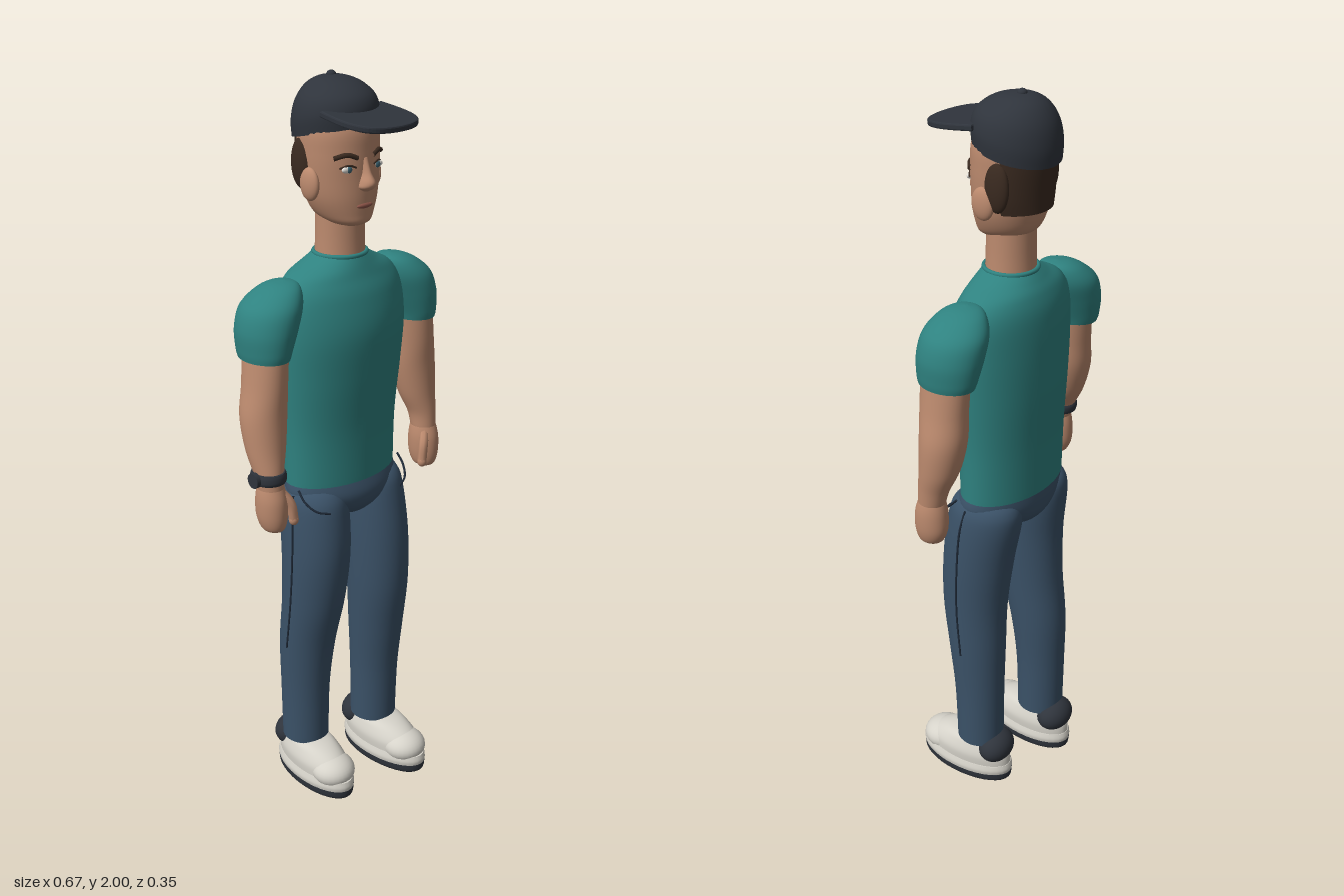
import * as THREE from 'three';

const mat = (name, color, double) => {
  const m = new THREE.MeshStandardMaterial({ color });
  m.name = name;
  if (double) m.side = THREE.DoubleSide;
  return m;
};

// Smooth body part from a few elliptical rings [y, cx, cz, rx, rz], closed at both ends.
// An arc [from, to] makes an open shell instead; angle 0 faces +z.
function loft(rings, { seg = 36, sub = 6, arc = null } = {}) {
  const at = (i) => rings[Math.max(0, Math.min(rings.length - 1, i))];
  const rows = [];
  for (let i = 0; i < rings.length - 1; i++) {
    for (let k = 0; k < sub; k++) {
      const t = k / sub;
      rows.push(at(i).map((b, c) => {
        const a = at(i - 1)[c], d = at(i + 1)[c], e = at(i + 2)[c];
        return b + 0.5 * t * (d - a + t * (2 * a - 5 * b + 4 * d - e + t * (3 * (b - d) + e - a)));
      }));
    }
  }
  rows.push(at(rings.length - 1));
  const pos = [], idx = [];
  const [from, to] = arc || [0, Math.PI * 2];
  const n = arc ? seg + 1 : seg;
  const addRing = ([y, cx, cz, rx, rz]) => {
    for (let j = 0; j < n; j++) {
      const a = from + (to - from) * j / seg;
      pos.push(cx + rx * Math.sin(a), y, cz + rz * Math.cos(a));
    }
  };
  rows.forEach(addRing);
  for (let i = 0; i < rows.length - 1; i++) {
    for (let j = 0; j < seg; j++) {
      const a = i * n + j, b = i * n + (j + 1) % n;
      idx.push(a, b, b + n, a, b + n, a + n);
    }
  }
  if (!arc) {
    for (const top of [false, true]) {
      const r = top ? rows[rows.length - 1] : rows[0];
      const start = pos.length / 3;
      addRing(r);
      pos.push(r[1], r[0], r[2]);
      for (let j = 0; j < seg; j++) {
        const a = start + j, b = start + (j + 1) % seg;
        if (top) idx.push(a, b, start + seg); else idx.push(b, a, start + seg);
      }
    }
  }
  const g = new THREE.BufferGeometry();
  g.setAttribute('position', new THREE.Float32BufferAttribute(pos, 3));
  g.setIndex(idx);
  g.computeVertexNormals();
  return g;
}

const ball = (x, y, z, rx, ry, rz) =>
  new THREE.SphereGeometry(1, 28, 18).scale(rx, ry, rz).translate(x, y, z);

const tube = (points, r) => new THREE.TubeGeometry(
  new THREE.CatmullRomCurve3(points.map((p) => new THREE.Vector3(...p))), 24, r, 8);

export function createModel() {
  const model = new THREE.Group();
  const skin = mat('skin', 0xbc8a6e), shirt = mat('shirt teal', 0x2f8280);
  const denim = mat('denim blue', 0x3b5268), dark = mat('charcoal', 0x2f343c);
  const white = mat('shoe white', 0xd6d3ca), hair = mat('hair brown', 0x3a2a20, true);
  const lips = mat('lips', 0x8e5549), eyeWhite = mat('eye white', 0xe4e2dc);
  const iris = mat('iris', 0x3f6674), seam = mat('seam navy', 0x1f2a38);
  const add = (name, geometry, material, parent = model) => {
    const m = new THREE.Mesh(geometry, material);
    m.name = name;
    parent.add(m);
    return m;
  };

  // Torso, collar, neck
  add('torso', loft([
    [0.955, 0, -0.045, 0.172, 0.105], [1.1, 0, -0.045, 0.175, 0.108],
    [1.25, 0, -0.041, 0.186, 0.119], [1.37, 0, -0.038, 0.193, 0.123],
    [1.46, 0, -0.043, 0.188, 0.112], [1.51, 0, -0.046, 0.16, 0.095],
    [1.54, 0, -0.043, 0.105, 0.08], [1.562, 0, -0.04, 0.066, 0.066]]), shirt);
  add('collar', new THREE.TorusGeometry(0.067, 0.006, 8, 40).rotateX(Math.PI / 2)
    .translate(0, 1.56, -0.04), shirt);
  add('neck', loft([[1.53, 0, -0.04, 0.067, 0.064], [1.6, 0, -0.04, 0.064, 0.061],
    [1.69, 0, -0.04, 0.063, 0.06]]), skin);
  add('pelvis', loft([
    [0.838, 0, -0.04, 0.02, 0.03], [0.85, 0, -0.04, 0.06, 0.07], [0.88, 0, -0.04, 0.125, 0.1],
    [0.92, 0, -0.04, 0.172, 0.108], [0.965, 0, -0.045, 0.168, 0.102]]), denim);

  // Head and face
  add('head', loft([
    [1.638, 0, -0.005, 0.03, 0.035], [1.648, 0, -0.015, 0.055, 0.063],
    [1.67, 0, -0.03, 0.074, 0.082], [1.71, 0, -0.037, 0.091, 0.092],
    [1.76, 0, -0.042, 0.1, 0.097], [1.82, 0, -0.045, 0.104, 0.1],
    [1.88, 0, -0.048, 0.101, 0.098], [1.94, 0, -0.05, 0.07, 0.07]]), skin);
  add('nose', loft([
    [1.728, 0, 0.05, 0.008, 0.012], [1.738, 0, 0.054, 0.021, 0.025],
    [1.752, 0, 0.056, 0.019, 0.028], [1.775, 0, 0.052, 0.011, 0.019],
    [1.81, 0, 0.047, 0.009, 0.01]], { seg: 20 }), skin);
  add('mouth', ball(0, 1.692, 0.051, 0.025, 0.007, 0.007), lips);
  add('backHair', loft([
    [1.722, 0, -0.043, 0.097, 0.1], [1.76, 0, -0.043, 0.105, 0.102],
    [1.82, 0, -0.045, 0.108, 0.104], [1.87, 0, -0.046, 0.107, 0.104]],
  { arc: [0.62 * Math.PI, 1.38 * Math.PI] }), hair);
  for (const s of [1, -1]) {
    add('ear', ball(s * 0.102, 1.745, -0.035, 0.015, 0.041, 0.032), skin);
    add('sideHair', ball(s * 0.096, 1.79, -0.072, 0.017, 0.062, 0.034), hair);
    add('eye', ball(s * 0.047, 1.785, 0.042, 0.019, 0.009, 0.007), eyeWhite);
    add('iris', ball(s * 0.046, 1.785, 0.047, 0.008, 0.008, 0.004), iris);
    add('eyelid', tube([[s * 0.027, 1.788, 0.051], [s * 0.047, 1.795, 0.047],
      [s * 0.067, 1.788, 0.034]], 0.0025), hair);
    add('eyebrow', tube([[s * 0.024, 1.811, 0.052], [s * 0.05, 1.82, 0.044],
      [s * 0.077, 1.812, 0.024]], 0.006), hair);
  }

  // Cap: dome lowered toward the back, thin bill, button
  const cap = new THREE.Group();
  cap.name = 'cap';
  model.add(cap);
  const dome = loft([
    [1.858, 0, -0.056, 0.105, 0.108], [1.9, 0, -0.056, 0.107, 0.11],
    [1.94, 0, -0.057, 0.096, 0.099], [1.97, 0, -0.06, 0.07, 0.073],
    [1.986, 0, -0.063, 0.038, 0.04], [1.991, 0, -0.065, 0.003, 0.003]]);
  const p = dome.attributes.position;
  for (let i = 0; i < p.count; i++) {
    const fade = Math.min(1, (1.991 - p.getY(i)) / 0.1);
    p.setY(i, p.getY(i) + 0.22 * fade * (p.getZ(i) + 0.055));
  }
  dome.computeVertexNormals();
  add('capDome', dome, dark, cap);
  add('capButton', ball(0, 1.99, -0.07, 0.012, 0.01, 0.012), dark, cap);
  const billShape = new THREE.Shape();
  billShape.moveTo(-0.095, 0.0);
  billShape.lineTo(0.095, 0.0);
  billShape.bezierCurveTo(0.1, 0.05, 0.107, 0.1, 0.082, 0.138);
  billShape.bezierCurveTo(0.055, 0.178, -0.055, 0.178, -0.082, 0.138);
  billShape.bezierCurveTo(-0.107, 0.1, -0.1, 0.05, -0.095, 0.0);
  const bill = add('capBill', new THREE.ExtrudeGeometry(billShape, {
    depth: 0.008, bevelThickness: 0.004, bevelSize: 0.004, bevelSegments: 2, curveSegments: 20,
  }).rotateX(Math.PI / 2), dark, cap);
  bill.position.set(0, 1.92, 0.005);
  bill.rotation.x = 0.12;

  for (const s of [1, -1]) {
    const side = s > 0 ? 'left' : 'right';
    // The right arm swings slightly forward, the right leg stands slightly back
    const swing = (y) => (s > 0 ? 0 : 0.03 * Math.min(1, Math.max(0, (1.34 - y) / 0.3)));
    const stride = (y) => (s > 0 ? 0 : -0.05 * THREE.MathUtils.smoothstep(0.9 - y, 0, 0.5));
    const limb = (rings, shift) => loft(rings.map(([y, x, z, rx, rz]) => [y, s * x, z + shift(y), rx, rz]));

    // Sleeve, arm, hand
    add(side + 'Sleeve', limb([
      [1.337, 0.252, -0.042, 0.058, 0.077], [1.36, 0.25, -0.043, 0.063, 0.083],
      [1.41, 0.24, -0.045, 0.074, 0.088], [1.46, 0.222, -0.047, 0.076, 0.084],
      [1.495, 0.2, -0.047, 0.058, 0.064], [1.513, 0.185, -0.047, 0.035, 0.038],
      [1.519, 0.18, -0.047, 0.004, 0.004]], swing), shirt);
    add(side + 'Arm', limb([
      [1.01, 0.287, -0.015, 0.034, 0.037], [1.05, 0.286, -0.022, 0.038, 0.042],
      [1.11, 0.278, -0.036, 0.052, 0.053], [1.19, 0.27, -0.043, 0.06, 0.061],
      [1.27, 0.26, -0.039, 0.055, 0.064], [1.36, 0.25, -0.038, 0.052, 0.068]], swing), skin);
    const hand = new THREE.Group();
    hand.name = side + 'Hand';
    model.add(hand);
    add('palm', limb([
      [0.888, 0.286, -0.008, 0.012, 0.016], [0.898, 0.286, -0.009, 0.028, 0.034],
      [0.93, 0.287, -0.012, 0.037, 0.045], [0.975, 0.287, -0.013, 0.039, 0.045],
      [1.01, 0.287, -0.015, 0.034, 0.037], [1.03, 0.287, -0.015, 0.025, 0.028]], swing), skin, hand);
    const z = swing(0.95);
    add('thumb', tube([[s * 0.27, 0.995, 0.008 + z], [s * 0.253, 0.965, 0.022 + z],
      [s * 0.246, 0.92, 0.025 + z]], 0.013), skin, hand);
    add('thumbTip', ball(s * 0.246, 0.918, 0.025 + z, 0.013, 0.016, 0.013), skin, hand);

    // Trouser leg with side seam and pocket edge
    add(side + 'Leg', limb([
      [0.13, 0.11, -0.022, 0.065, 0.067], [0.3, 0.11, -0.02, 0.068, 0.071],
      [0.45, 0.108, -0.012, 0.076, 0.081], [0.6, 0.105, -0.004, 0.083, 0.092],
      [0.75, 0.103, -0.015, 0.088, 0.101], [0.88, 0.1, -0.036, 0.087, 0.104],
      [0.93, 0.1, -0.042, 0.075, 0.092], [0.955, 0.1, -0.045, 0.05, 0.06]], stride), denim);
    add(side + 'Seam', tube([[0.176, 0.93, -0.03], [0.188, 0.87, -0.02], [0.191, 0.75, -0.01],
      [0.188, 0.6, -0.004], [0.184, 0.45, -0.012]].map(([x, y, sz]) => [s * x, y, sz + stride(y)]),
    0.003), seam);
    add(side + 'Pocket', tube([[s * 0.125, 0.893, 0.06], [s * 0.16, 0.905, 0.045],
      [s * 0.178, 0.93, 0.018], [s * 0.178, 0.955, -0.005]], 0.003), seam);

    // Shoe
    const shoe = new THREE.Group();
    shoe.name = side + 'Shoe';
    shoe.position.set(s * 0.112, 0, s > 0 ? 0 : -0.05);
    shoe.rotation.y = s * 0.05;
    model.add(shoe);
    add('outsole', loft([[0, 0, 0.025, 0.06, 0.138], [0.01, 0, 0.025, 0.07, 0.148],
      [0.03, 0, 0.025, 0.073, 0.15]]), dark, shoe);
    add('midsole', loft([[0.028, 0, 0.025, 0.072, 0.149], [0.042, 0, 0.025, 0.074, 0.151],
      [0.058, 0, 0.025, 0.07, 0.147]]), white, shoe);
    add('upper', loft([[0.055, 0, 0.022, 0.066, 0.143], [0.085, 0, 0.018, 0.067, 0.135],
      [0.11, 0, 0.01, 0.06, 0.112], [0.128, 0, 0, 0.05, 0.08], [0.138, 0, -0.01, 0.03, 0.04]]), white, shoe);
    add('toeCap', ball(0, 0.068, 0.105, 0.062, 0.045, 0.064), white, shoe);
    add('heelCounter', ball(0, 0.11, -0.078, 0.06, 0.048, 0.047), dark, shoe);
  }

  // Watch on the right wrist
  const watch = new THREE.Group();
  watch.name = 'watch';
  model.add(watch);
  add('watchBand', loft([[1.026, -0.288, 0.01, 0.042, 0.045], [1.034, -0.288, 0.01, 0.045, 0.048],
    [1.046, -0.288, 0.009, 0.045, 0.048], [1.054, -0.288, 0.009, 0.042, 0.045]]), dark, watch);
  add('watchFace', new THREE.CylinderGeometry(0.02, 0.02, 0.012, 24).rotateZ(Math.PI / 2)
    .translate(-0.334, 1.04, 0.01), dark, watch);
  return model;
}
